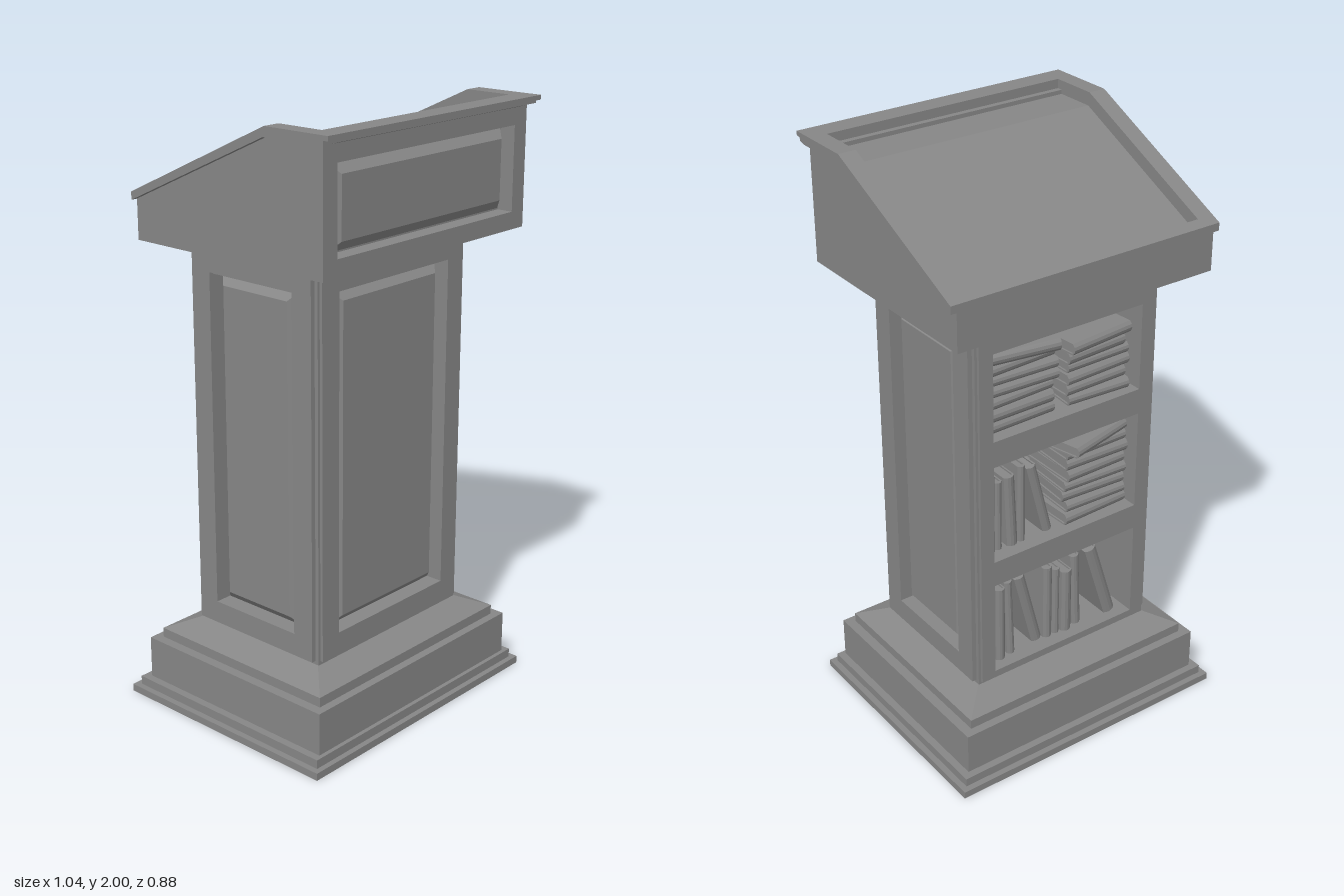
import * as THREE from 'three';

const mat = new THREE.MeshStandardMaterial({ color: 0x868686, flatShading: true, side: THREE.DoubleSide });

function add(parent, name, geo, x = 0, y = 0, z = 0) {
  const m = new THREE.Mesh(geo, mat);
  m.name = name;
  m.position.set(x, y, z);
  parent.add(m);
  return m;
}

// box given by its limits
function block(parent, name, x0, x1, y0, y1, z0, z1) {
  return add(parent, name, new THREE.BoxGeometry(x1 - x0, y1 - y0, z1 - z0),
    (x0 + x1) / 2, (y0 + y1) / 2, (z0 + z1) / 2);
}

const poly = pts => new THREE.Shape(pts.map(p => new THREE.Vector2(p[0], p[1])));
const rect = (w, h, y = 0) => poly([[-w / 2, y - h / 2], [w / 2, y - h / 2], [w / 2, y + h / 2], [-w / 2, y + h / 2]]);
const flat = depth => ({ depth, bevelEnabled: false });

// side outline [z, y] swept across x0..x1
function sweep(parent, name, pts, x0, x1) {
  const g = new THREE.ExtrudeGeometry(poly(pts), flat(x1 - x0));
  g.rotateY(-Math.PI / 2);
  return add(parent, name, g, x1, 0, 0);
}

// mitred field whose front rises by t while shrinking by b on all sides
function raisedField(w, h, b, t) {
  const g = new THREE.ExtrudeGeometry(rect(w - 2 * b, h - 2 * b),
    { depth: 0.001, bevelEnabled: true, bevelSize: b, bevelThickness: t, bevelSegments: 1 });
  // fold the rear bevel flat onto the back plane
  const p = g.attributes.position;
  for (let i = 0; i < p.count; i++) p.setZ(i, Math.max(0, p.getZ(i) - 0.001));
  return g;
}

// frame with a sunk, bevelled field
function framedPanel(name, w, h, ow, oh, depth = 0.06) {
  const g = new THREE.Group();
  g.name = name;
  const s = rect(w, h);
  s.holes.push(rect(ow, oh));
  add(g, 'panelFrame', new THREE.ExtrudeGeometry(s, flat(depth)));
  add(g, 'panelField', raisedField(ow, oh, 0.04, 0.04));
  return g;
}

// book standing on y = 0, spine towards -z, filling x from -t to 0
function makeBook(t, h, d) {
  const g = new THREE.Group();
  g.name = 'book';
  const c = 0.005, s = new THREE.Shape();
  s.moveTo(0, -d);
  s.lineTo(0, -0.01);
  s.quadraticCurveTo(-t / 2, 0.012, -t, -0.01);
  s.lineTo(-t, -d);
  s.lineTo(-t + c, -d);
  s.lineTo(-t + c, -0.012);
  s.lineTo(-c, -0.012);
  s.lineTo(-c, -d);
  const geo = new THREE.ExtrudeGeometry(s, { ...flat(h), curveSegments: 4 });
  geo.rotateX(-Math.PI / 2);
  add(g, 'bookCover', geo);
  block(g, 'bookPages', -t + c, -c, 0.006, h - 0.006, 0.012, d - 0.006);
  return g;
}

let seed = 7;
const rnd = (a, b) => {
  seed = (seed * 16807) % 2147483647;
  return a + (b - a) * seed / 2147483647;
};

// upright books running towards -x
function bookRow(parent, x, y, list) {
  for (const [t, h, lean] of list) {
    const b = makeBook(t, h, rnd(0.2, 0.25));
    if (lean) x -= h * Math.sin(lean);
    b.position.set(x, y, rnd(-0.25, -0.225));
    b.rotation.z = -lean;
    x -= t / Math.cos(lean) + 0.003;
    parent.add(b);
  }
}

// pile of lying books centred on x, the top one turned askew
function bookPile(parent, x, y, n, topTilt) {
  for (let i = 0; i < n; i++) {
    const t = rnd(0.036, 0.041), h = rnd(0.23, 0.255), tilted = i === n - 1;
    const b = makeBook(t, h, 0.22);
    b.rotation.z = Math.PI / 2;
    b.position.set(h / 2, t, -0.01);
    const turn = new THREE.Group();
    turn.name = 'lyingBook';
    turn.add(b);
    turn.position.set(x + rnd(-0.008, 0.008), y, rnd(-0.24, -0.225) - (tilted ? 0.14 * Math.abs(topTilt) : 0));
    turn.rotation.y = tilted ? topTilt : rnd(-0.06, 0.06);
    parent.add(turn);
    y += t + 0.0005;
  }
}

export function createModel() {
  const model = new THREE.Group();
  model.name = 'lectern';

  // stepped base
  const base = new THREE.Group();
  base.name = 'base';
  model.add(base);
  block(base, 'baseFoot', -0.521, 0.521, 0, 0.025, -0.438, 0.414);
  block(base, 'baseStep', -0.5, 0.5, 0.025, 0.055, -0.417, 0.395);
  block(base, 'basePlinth', -0.474, 0.474, 0.055, 0.2, -0.392, 0.381);
  block(base, 'baseLedge', -0.441, 0.441, 0.2, 0.233, -0.363, 0.353);
  add(base, 'baseSlope', raisedField(0.882, 0.716, 0.095, 0.042).rotateX(-Math.PI / 2), 0, 0.233, -0.005);

  // hollow column
  const column = new THREE.Group();
  column.name = 'column';
  model.add(column);
  block(column, 'columnFloor', -0.345, 0.345, 0.27, 0.31, -0.27, 0.26);
  block(column, 'columnTop', -0.345, 0.345, 1.48, 1.585, -0.27, 0.2);
  block(column, 'columnTopFront', -0.345, 0.345, 1.5, 1.585, 0.2, 0.26);
  block(column, 'columnFrontWall', -0.3, 0.3, 0.3, 1.5, 0.195, 0.21);
  for (const s of [-1, 1]) {
    const span = (a, b) => (s > 0 ? [a, b] : [-b, -a]);
    block(column, 'columnSideWall', ...span(0.285, 0.301), 0.3, 1.5, -0.265, 0.21);
    block(column, 'frontCornerPost', ...span(0.29, 0.345), 0.3, 1.55, 0.2, 0.26);
    block(column, 'backCornerPost', ...span(0.29, 0.345), 0.3, 1.55, -0.27, -0.225);
    const side = framedPanel('sidePanel', 0.505, 1.275, 0.35, 1.125);
    side.position.set(s * 0.301, 0.925, -0.005);
    side.rotation.y = s * Math.PI / 2;
    column.add(side);
  }
  const front = framedPanel('frontPanel', 0.672, 1.275, 0.52, 1.125);
  front.position.set(0, 0.925, 0.21);
  column.add(front);

  // bookcase in the back
  const bays = [[0.31, 0.65], [0.74, 1.09], [1.18, 1.48]];
  const backShape = rect(0.672, 1.275, 0.9225);
  for (const [a, b] of bays) backShape.holes.push(rect(0.57, b - a, (a + b) / 2));
  add(column, 'backFrame', new THREE.ExtrudeGeometry(backShape, flat(0.03)), 0, 0, -0.28);
  block(column, 'lowerShelf', -0.29, 0.29, 0.65, 0.74, -0.255, 0.2);
  block(column, 'upperShelf', -0.29, 0.29, 1.09, 1.18, -0.255, 0.2);

  const books = new THREE.Group();
  books.name = 'books';
  model.add(books);
  bookRow(books, 0.282, 0.31, [[0.03, 0.3, 0], [0.035, 0.28, 0], [0.03, 0.29, 0.04], [0.04, 0.29, 0.25],
    [0.035, 0.28, 0], [0.03, 0.26, 0], [0.04, 0.24, 0], [0.035, 0.28, 0.04], [0.045, 0.3, 0.3]]);
  bookRow(books, 0.282, 0.74, [[0.035, 0.28, 0], [0.03, 0.25, 0], [0.04, 0.26, 0.05], [0.03, 0.28, 0],
    [0.035, 0.27, 0.25]]);
  bookPile(books, -0.148, 0.74, 8, 0.25);
  bookPile(books, 0.145, 1.18, 7, -0.15);
  bookPile(books, -0.145, 1.18, 6, 0.1);

  // slanted desk box
  const desk = new THREE.Group();
  desk.name = 'desk';
  model.add(desk);
  sweep(desk, 'readingSurface', [[0.345, 1.579], [0.345, 1.955], [0.2, 1.955], [-0.35, 1.699], [-0.35, 1.579]], -0.436, 0.436);
  sweep(desk, 'deskBackWall', [[-0.345, 1.579], [-0.345, 1.724], [-0.375, 1.71], [-0.375, 1.579]], -0.436, 0.436);
  const deskFront = framedPanel('deskFrontPanel', 0.948, 0.39, 0.828, 0.275);
  deskFront.position.set(0, 1.774, 0.34);
  desk.add(deskFront);

  // rim around the reading surface
  sweep(desk, 'rimFront', [[0.36, 1.965], [0.36, 2], [0.437, 2], [0.437, 1.985], [0.42, 1.985], [0.42, 1.973], [0.395, 1.965]],
    -0.436, 0.436);
  sweep(desk, 'rimBack', [[-0.345, 1.72], [-0.345, 1.749], [-0.377, 1.734], [-0.377, 1.708]], -0.436, 0.436);
  for (const [a, b, c] of [[0.435, 0.474, 0.495], [-0.474, -0.435, -0.495]]) {
    sweep(desk, 'deskSideWall', [[0.345, 1.579], [0.345, 1.98], [0.19, 1.98], [-0.375, 1.715], [-0.375, 1.579]], a, b);
    sweep(desk, 'rimSide', [[0.437, 1.985], [0.437, 2], [0.195, 2], [-0.377, 1.734], [-0.377, 1.708],
      [0.19, 1.968], [0.395, 1.968], [0.42, 1.973], [0.42, 1.985]], Math.min(a, c), Math.max(b, c));
  }
  return model;
}
